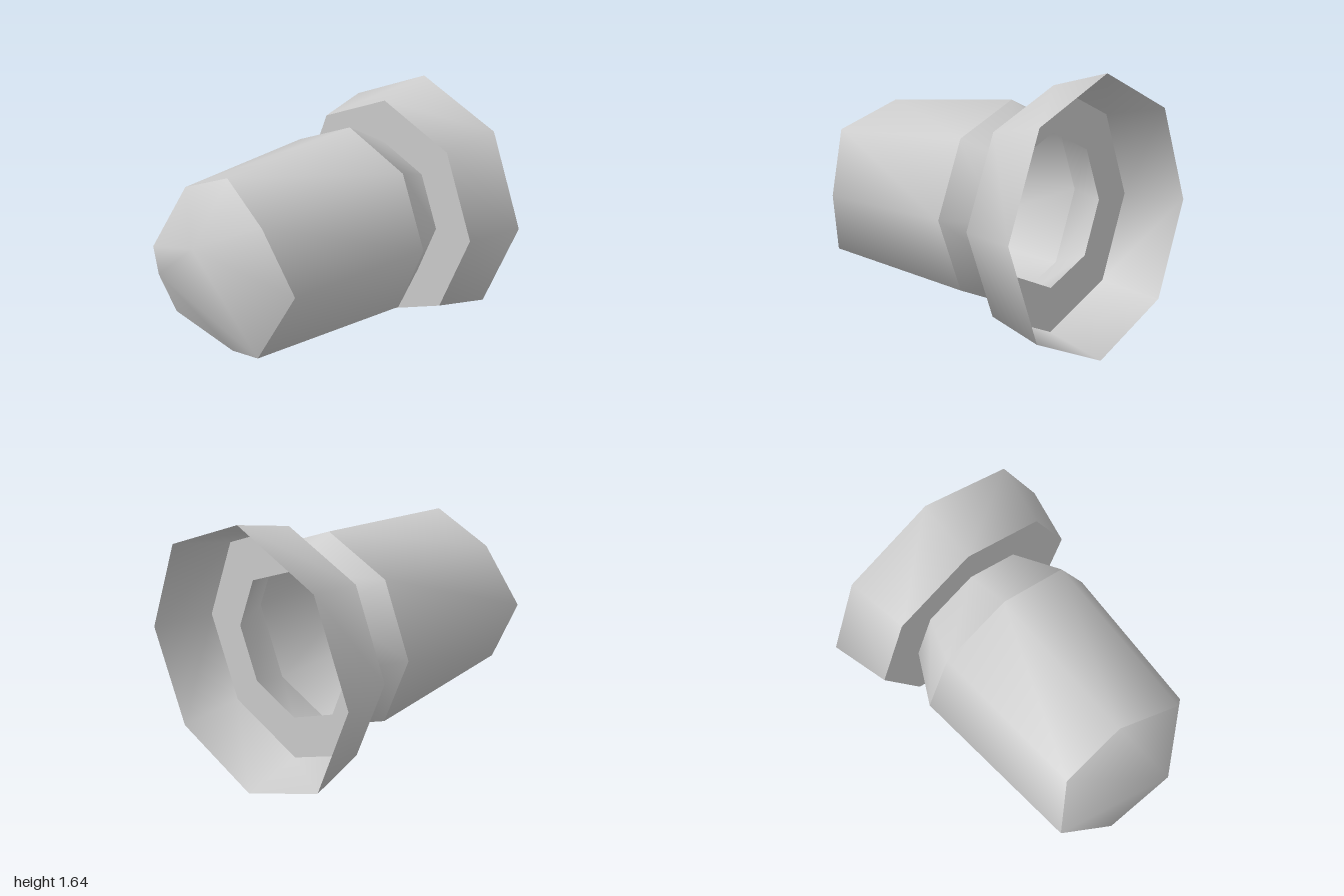
import * as THREE from 'three';

const SIDES = 8;
const CENTRE_Y = 0.825;

// Octagonal ring of points facing +z, with a vertex on each axis.
// depth is one z for all points, or a list of one z per point.
function ring(radius, depth) {
  const points = [];
  for (let i = 0; i < SIDES; i++) {
    const a = (i / SIDES) * Math.PI * 2;
    const z = Array.isArray(depth) ? depth[i] : depth;
    points.push([radius * Math.cos(a), CENTRE_Y + radius * Math.sin(a), z]);
  }
  return points;
}

function surface(name, points, index, material) {
  const geometry = new THREE.BufferGeometry();
  geometry.setAttribute('position', new THREE.Float32BufferAttribute(points.flat(), 3));
  geometry.setIndex(index);
  geometry.computeVertexNormals();
  const mesh = new THREE.Mesh(geometry, material);
  mesh.name = name;
  return mesh;
}

// Smooth band joining two rings
function band(name, back, front, material) {
  const index = [];
  for (let i = 0; i < SIDES; i++) {
    const j = (i + 1) % SIDES;
    index.push(i, j, SIDES + j, i, SIDES + j, SIDES + i);
  }
  return surface(name, [...back, ...front], index, material);
}

export function createModel() {
  const group = new THREE.Group();
  group.name = 'flaredPlug';
  const grey = new THREE.MeshStandardMaterial({ color: 0xcccccc, side: THREE.DoubleSide });
  grey.name = 'light grey';

  const flareBack = ring(0.82, -1);
  const flareFront = ring(0.73, -0.63);
  const neckBack = ring(0.46, -0.63);
  const shoulder = ring(0.625, -0.32);
  // Uneven front rim, counter-clockwise from +x
  const rim = ring(0.55, [0.66, 0.75, 0.66, 0.66, 0.8, 0.77, 0.66, 0.8]);

  group.add(
    band('flare', flareBack, flareFront, grey),
    band('flareFace', flareFront, neckBack, grey),
    band('neck', neckBack, shoulder, grey),
    band('body', shoulder, rim, grey)
  );

  // Rough nose: two off-centre peaks fanned out to the rim
  const upper = SIDES, lower = SIDES + 1;
  const peaks = [[0.09, 1.075, 1], [-0.29, 0.78, 0.957]];
  const index = [upper, 4, lower, upper, lower, 7];
  for (const i of [7, 0, 1, 2, 3]) index.push(upper, i, (i + 1) % SIDES);
  for (const i of [4, 5, 6]) index.push(lower, i, i + 1);
  group.add(surface('nose', [...rim, ...peaks], index, grey));

  return group;
}
